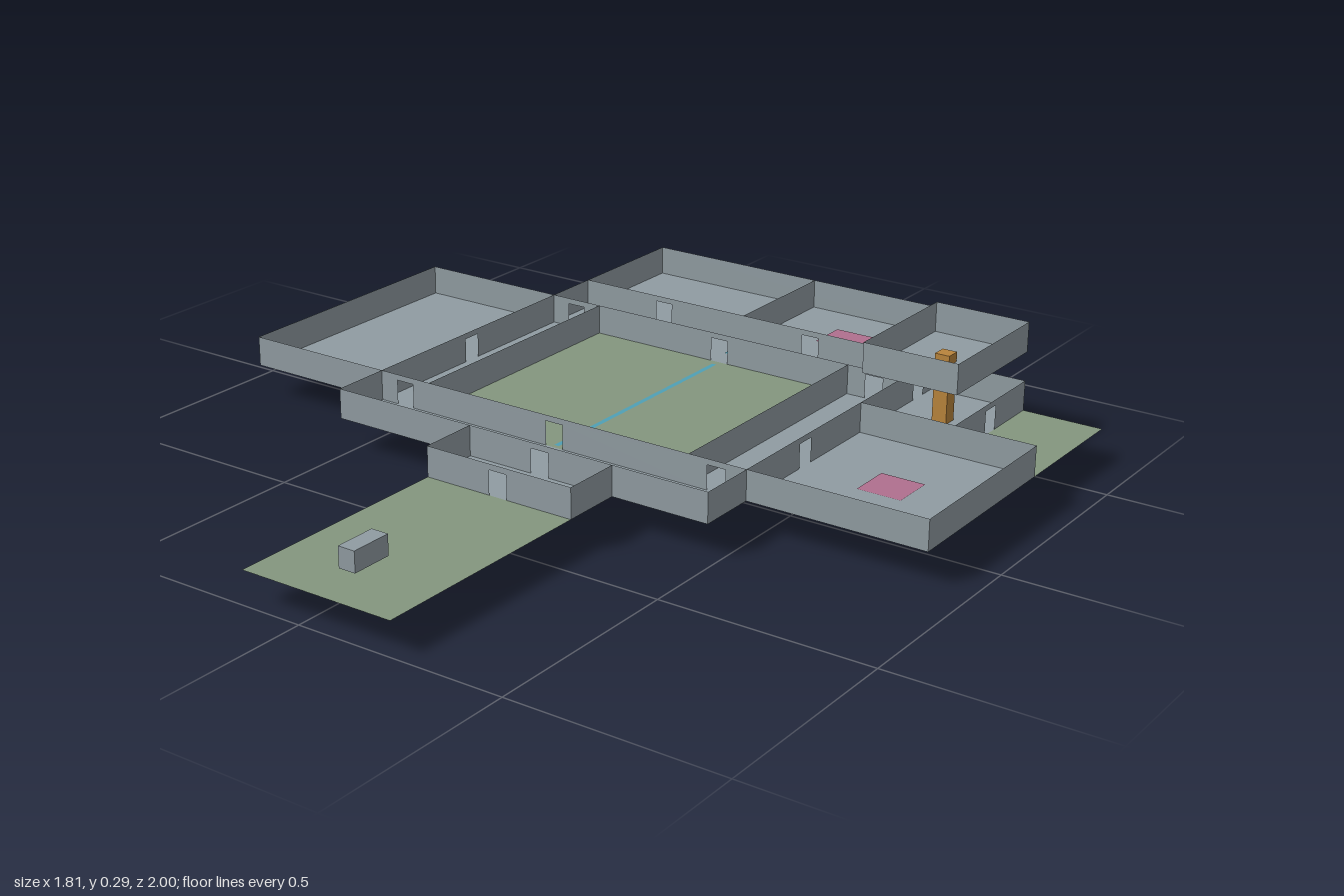
import * as THREE from 'three';

const material = (name, color) => {
  const m = new THREE.MeshStandardMaterial({ color, side: THREE.DoubleSide });
  m.name = name;
  return m;
};

export function createModel() {
  const grey = material('concreteGrey', 0x909ca2);
  const green = material('lawnGreen', 0x84967f);
  const pink = material('markerPink', 0xb0708f);
  const cyan = material('pathCyan', 0x4fa0b5);
  const brown = material('stairBrown', 0xb8843c);

  const model = new THREE.Group();
  const GROUND = 0.078, WALL = 0.072, DOOR_W = 0.046, DOOR_H = 0.058;

  const add = (parent, name, geometry, mat, x = 0, y = 0, z = 0) => {
    const mesh = new THREE.Mesh(geometry, mat);
    mesh.name = name;
    mesh.position.set(x, y, z);
    parent.add(mesh);
    return mesh;
  };

  // Flat rectangle on the ground, from corner to corner
  const floor = (parent, name, mat, y, x0, z0, x1, z1) =>
    add(parent, name, new THREE.PlaneGeometry(x1 - x0, z1 - z0).rotateX(-Math.PI / 2),
      mat, (x0 + x1) / 2, y, (z0 + z1) / 2);

  // Upright sheet from a to b along one axis, notched at each door position
  const wall = (parent, axis, at, a, b, y, h, doors = []) => {
    const s = new THREE.Shape();
    s.moveTo(a, 0);
    for (const d of doors) {
      s.lineTo(d - DOOR_W / 2, 0);
      s.lineTo(d - DOOR_W / 2, DOOR_H);
      s.lineTo(d + DOOR_W / 2, DOOR_H);
      s.lineTo(d + DOOR_W / 2, 0);
    }
    s.lineTo(b, 0);
    s.lineTo(b, h);
    s.lineTo(a, h);
    s.closePath();
    const g = new THREE.ShapeGeometry(s);
    if (axis === 'z') g.rotateY(-Math.PI / 2);
    add(parent, 'wall', g, grey, axis === 'z' ? at : 0, y, axis === 'z' ? 0 : at);
  };

  const storey = (name) => {
    const g = new THREE.Group();
    g.name = name;
    model.add(g);
    return g;
  };

  // Ground storey floors
  const ground = storey('groundStorey');
  for (const [name, ...r] of [
    ['leftCorridorFloor', -0.52, -0.52, -0.38, 0.14],
    ['rightCorridorFloor', 0.33, -0.52, 0.475, 0.14],
    ['rearCorridorFloor', -0.52, -0.665, 0.475, -0.52],
    ['frontCorridorFloor', -0.52, 0.14, 0.475, 0.285],
    ['sideHallFloor', -0.905, -0.52, -0.52, 0.14],
    ['rearRoomFloor', -0.52, -1, -0.05, -0.665],
    ['rearSmallRoomFloor', -0.05, -1, 0.33, -0.665],
    ['sideRoomFloor', 0.475, -0.33, 0.905, 0.14],
    ['towerBaseFloor', 0.475, -0.665, 0.71, -0.33],
    ['porchFloor', -0.145, 0.285, 0.235, 0.43],
  ]) floor(ground, name, grey, GROUND, ...r);

  // Lawns
  floor(ground, 'courtyardLawn', green, GROUND, -0.38, -0.52, 0.33, 0.14);
  floor(ground, 'entranceLawn', green, GROUND, -0.145, 0.43, 0.235, 1);
  floor(ground, 'sideLawn', green, GROUND, 0.71, -0.665, 0.905, -0.33);

  // Ground storey walls: axis, position, start, end, doors
  for (const [axis, at, a, b, doors] of [
    ['x', -1, -0.52, 0.33],
    ['x', -0.665, -0.52, 0.71, [-0.285, 0.14]],
    ['x', -0.52, -0.905, 0.475, [-0.45, -0.025, 0.4]],
    ['x', -0.33, 0.475, 0.905],
    ['x', 0.14, -0.905, 0.905, [-0.45, -0.025, 0.4]],
    ['x', 0.285, -0.52, 0.475, [0.045]],
    ['x', 0.43, -0.145, 0.235, [0.045]],
    ['z', -0.905, -0.52, 0.14],
    ['z', -0.52, -1, 0.285, [-0.19]],
    ['z', -0.38, -0.52, 0.14],
    ['z', -0.145, 0.285, 0.43],
    ['z', -0.05, -1, -0.665],
    ['z', 0.235, 0.285, 0.43],
    ['z', 0.33, -1, -0.665],
    ['z', 0.33, -0.52, 0.14],
    ['z', 0.475, -0.665, 0.285, [-0.595, -0.095]],
    ['z', 0.71, -0.665, -0.33, [-0.498]],
    ['z', 0.905, -0.33, 0.14],
  ]) wall(ground, axis, at, a, b, GROUND, WALL, doors);

  // Basement below the rear corridor and the larger rear room
  const basement = storey('basement');
  floor(basement, 'basementCorridorFloor', grey, 0, -0.52, -0.665, 0.475, -0.52);
  floor(basement, 'basementRoomFloor', grey, 0, -0.52, -1, -0.05, -0.665);
  wall(basement, 'x', -0.52, -0.52, 0.475, 0, GROUND);
  wall(basement, 'x', -0.665, -0.52, 0.475, 0, GROUND, [-0.285]);
  wall(basement, 'x', -1, -0.52, -0.05, 0, GROUND);
  wall(basement, 'z', -0.52, -1, -0.52, 0, GROUND);
  wall(basement, 'z', -0.05, -1, -0.665, 0, GROUND);
  wall(basement, 'z', 0.475, -0.665, -0.52, 0, GROUND);

  // Raised tower room on its shaft
  const tower = storey('tower');
  const TOP = 0.22;
  floor(tower, 'towerFloor', grey, TOP, 0.475, -0.665, 0.71, -0.33);
  for (const z of [-0.665, -0.33]) wall(tower, 'x', z, 0.475, 0.71, TOP, WALL);
  for (const x of [0.475, 0.71]) wall(tower, 'z', x, -0.665, -0.33, TOP, WALL);
  add(tower, 'towerShaft', new THREE.BoxGeometry(0.036, 0.164, 0.036), brown, 0.592, 0.161, -0.498);

  // Sloping stair from the left corridor down to the basement
  const from = new THREE.Vector3(-0.452, GROUND - 0.002, -0.19);
  const to = new THREE.Vector3(-0.025, 0.004, -0.593);
  const stair = add(model, 'basementStair',
    new THREE.BoxGeometry(0.036, 0.005, from.distanceTo(to)), brown);
  stair.position.copy(from).add(to).multiplyScalar(0.5);
  stair.lookAt(to);

  // Floor markers and paths
  const mark = GROUND + 0.002;
  floor(model, 'rearRoomMarker', pink, mark, 0.088, -0.885, 0.192, -0.78);
  floor(model, 'sideRoomMarker', pink, mark, 0.632, -0.152, 0.738, -0.047);
  floor(model, 'rearCorridorMarker', cyan, mark, -0.047, -0.618, -0.003, -0.577);
  floor(model, 'leftCorridorMarker', cyan, mark, -0.472, -0.21, -0.437, -0.17);
  floor(model, 'courtyardPath', cyan, GROUND + 0.001, -0.032, -0.5, -0.02, 0.13);

  // Small block standing on the entrance lawn
  add(model, 'entranceBlock', new THREE.BoxGeometry(0.042, 0.048, 0.1), grey, 0.045, 0.116, 0.855);

  return model;
}
